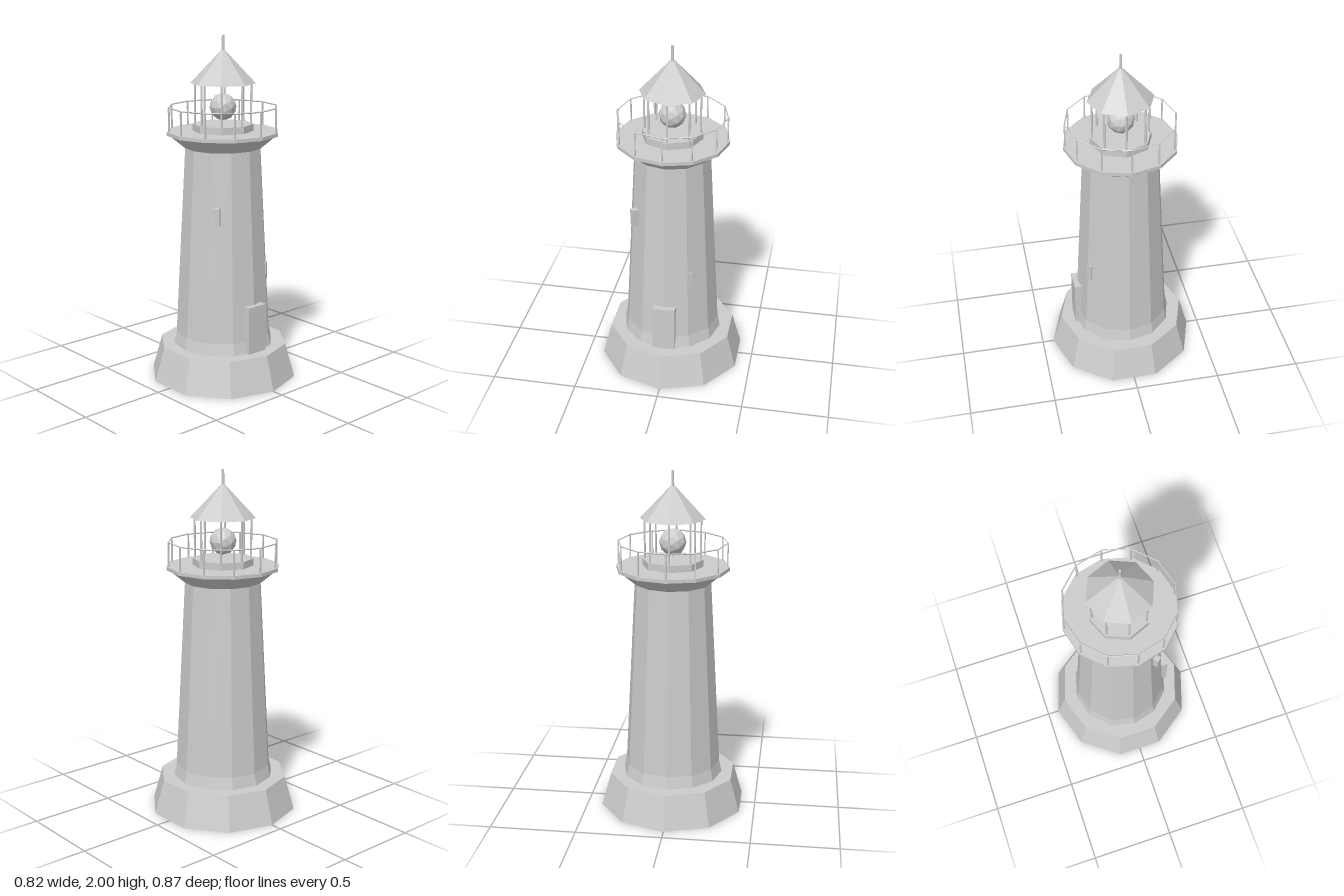
import * as THREE from 'three';

export function createModel() {
  const model = new THREE.Group();
  const paint = new THREE.MeshStandardMaterial({ color: 0xcccccc, flatShading: true });
  paint.name = 'pale grey';

  const add = (name, geometry, x = 0, y = 0, z = 0) => {
    const mesh = new THREE.Mesh(geometry, paint);
    mesh.name = name;
    mesh.position.set(x, y, z);
    model.add(mesh);
    return mesh;
  };
  // Upright prism or frustum between two heights
  const frustum = (name, rBottom, rTop, y0, y1, sides, x = 0, z = 0) =>
    add(name, new THREE.CylinderGeometry(rTop, rBottom, y1 - y0, sides), x, (y0 + y1) / 2, z);
  // Calls fn with evenly spaced positions on a circle
  const around = (count, radius, fn) => {
    for (let i = 0; i < count; i++) {
      const a = (i / count) * Math.PI * 2;
      fn(Math.sin(a) * radius, Math.cos(a) * radius, a);
    }
  };

  // Ten-sided plinth
  frustum('plinth', 0.433, 0.376, 0, 0.2, 10);

  // Twelve-sided tower with a flared foot
  frustum('towerFoot', 0.295, 0.28, 0.2, 0.27, 12);
  frustum('tower', 0.28, 0.22, 0.27, 1.37, 12);

  // Gallery
  frustum('galleryCorbel', 0.22, 0.31, 1.365, 1.44, 12);
  frustum('galleryDeck', 0.325, 0.325, 1.44, 1.46, 12);
  around(12, 0.312, (x, z) => {
    add('railingPost', new THREE.BoxGeometry(0.008, 0.14, 0.008), x, 1.53, z);
  });
  const rail = add('handrail', new THREE.TorusGeometry(0.312, 0.004, 4, 12), 0, 1.598, 0);
  rail.rotation.x = Math.PI / 2;

  // Lantern room
  frustum('lanternBase', 0.175, 0.175, 1.46, 1.5, 8);
  around(8, 0.16, (x, z) => frustum('lanternPost', 0.006, 0.006, 1.5, 1.735, 6, x, z));
  add('lamp', new THREE.IcosahedronGeometry(0.078, 1), 0, 1.597, 0);

  // Roof and spire
  frustum('roof', 0.187, 0.012, 1.73, 1.915, 8);
  frustum('spire', 0.008, 0.007, 1.91, 2, 8);

  // Door
  add('door', new THREE.BoxGeometry(0.132, 0.28, 0.06), 0, 0.34, 0.266);

  // Windows, set by bearing and by the distance of their outer face
  const addWindow = (bearing, outer, y) => {
    const a = THREE.MathUtils.degToRad(bearing);
    const r = outer - 0.025;
    const pane = add('window', new THREE.BoxGeometry(0.035, 0.1, 0.05), Math.sin(a) * r, y, Math.cos(a) * r);
    pane.rotation.y = a;
  };
  addWindow(33, 0.262, 0.65);
  addWindow(-50, 0.267, 1.01);

  return model;
}
